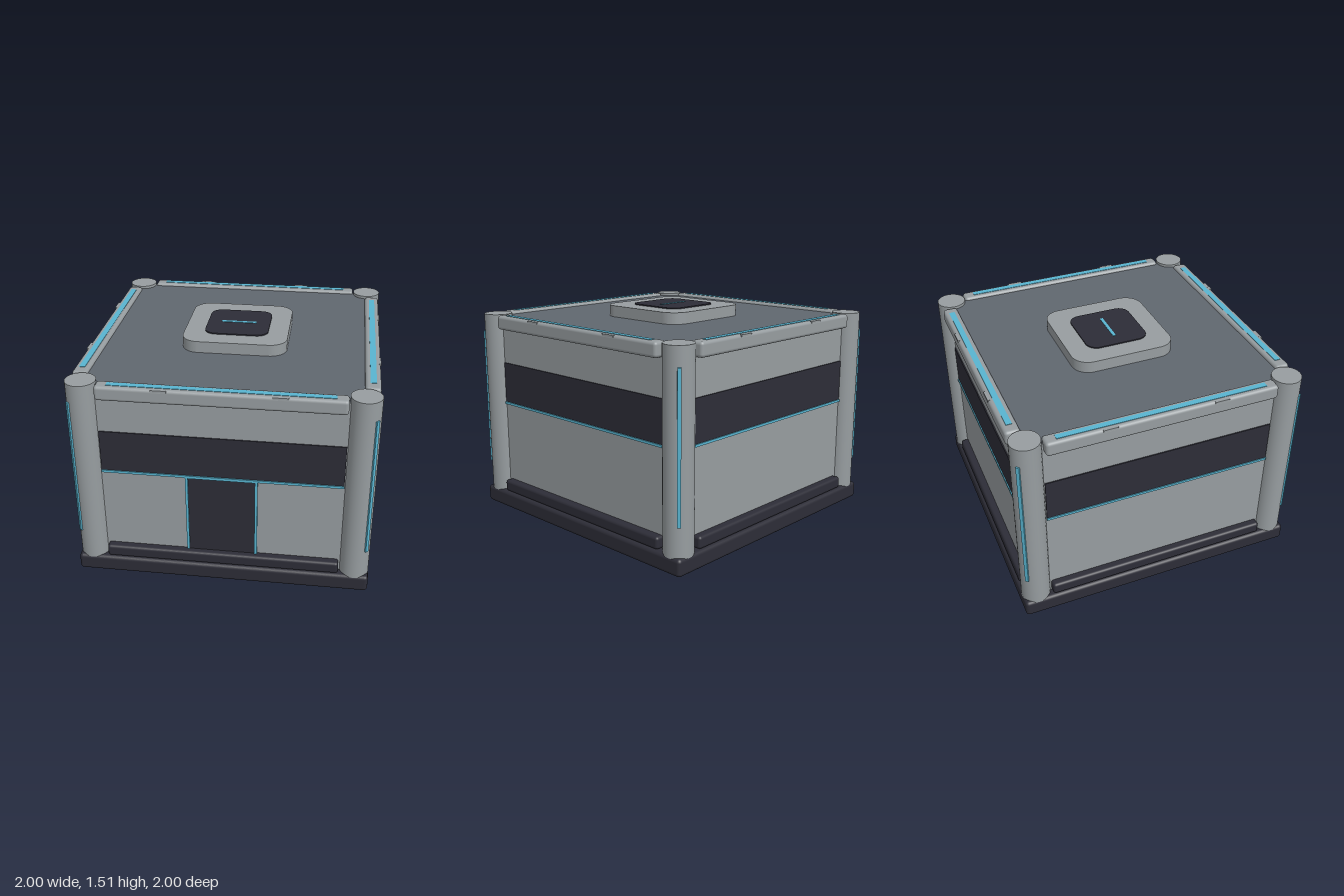
import * as THREE from 'three';
import { RoundedBoxGeometry } from 'three/addons/geometries/RoundedBoxGeometry.js';

export function createModel() {
  const model = new THREE.Group();
  model.name = 'building';

  const material = (name, color) => {
    const m = new THREE.MeshStandardMaterial({ color });
    m.name = name;
    return m;
  };
  const grey = material('wall grey', 0x979da0);
  const dark = material('dark trim', 0x2d2d37);
  const slate = material('roof slate', 0x60676f);
  const blue = material('light blue', 0x58b4d0);

  const add = (parent, name, geometry, mat, x, y, z) => {
    const mesh = new THREE.Mesh(geometry, mat);
    mesh.name = name;
    mesh.position.set(x, y, z);
    parent.add(mesh);
    return mesh;
  };
  // Boxes are given by their centre x, bottom, top, back and front
  const box = (parent, name, mat, w, y0, y1, z0, z1, x = 0) =>
    add(parent, name, new THREE.BoxGeometry(w, y1 - y0, z1 - z0), mat, x, (y0 + y1) / 2, (z0 + z1) / 2);
  const softBox = (parent, name, mat, w, y0, y1, z0, z1, r) =>
    add(parent, name, new RoundedBoxGeometry(w, y1 - y0, z1 - z0, 3, r), mat, 0, (y0 + y1) / 2, (z0 + z1) / 2);

  // Rounded square slab lying flat
  const slab = (name, mat, half, r, y0, y1) => {
    const s = new THREE.Shape();
    const c = half - r;
    s.absarc(c, c, r, 0, Math.PI / 2);
    s.absarc(-c, c, r, Math.PI / 2, Math.PI);
    s.absarc(-c, -c, r, Math.PI, Math.PI * 1.5);
    s.absarc(c, -c, r, Math.PI * 1.5, Math.PI * 2);
    s.closePath();
    const g = new THREE.ExtrudeGeometry(s, { depth: y1 - y0, bevelEnabled: false, curveSegments: 10 });
    g.rotateX(-Math.PI / 2);
    add(model, name, g, mat, 0, y0, 0);
  };

  // Foundation, wall core and roof
  softBox(model, 'foundation', dark, 2, 0, 0.12, -1, 1, 0.025);
  box(model, 'wallCore', grey, 1.86, 0.1, 1.4, -0.93, 0.93);
  box(model, 'roof', slate, 1.84, 1.4, 1.42, -0.92, 0.92);

  // Four matching sides
  for (let i = 0; i < 4; i++) {
    const side = new THREE.Group();
    side.name = 'side' + (i + 1);
    side.rotation.y = (i * Math.PI) / 2;
    model.add(side);

    softBox(side, 'skirting', dark, 1.59, 0.12, 0.205, 0.88, 0.985, 0.02);
    box(side, 'windowBand', dark, 1.6, 0.8, 1.09, 0.93, 0.938);
    box(side, 'wallLight', blue, 1.6, 0.783, 0.8, 0.93, 0.945);
    softBox(side, 'parapet', grey, 1.59, 1.34, 1.44, 0.888, 0.99, 0.022);
    box(side, 'parapetLight', blue, 1.44, 1.436, 1.443, 0.92, 0.96);
    for (const x of [-0.38, 0.38])
      box(side, 'parapetClip', grey, 0.1, 1.425, 1.439, 0.975, 0.993, x);
  }

  // Front door with its lit frame
  box(model, 'door', dark, 0.45, 0.2, 0.785, 0.93, 0.938);
  for (const x of [-0.231, 0.231])
    box(model, 'doorFrameLight', blue, 0.018, 0.2, 0.8, 0.93, 0.946, x);
  box(model, 'doorTopLight', blue, 0.48, 0.78, 0.8, 0.93, 0.947);

  // Corner columns, each with a light facing outward
  for (let i = 0; i < 4; i++) {
    const a = Math.PI / 4 + (i * Math.PI) / 2;
    const column = new THREE.Group();
    column.name = 'cornerColumn' + (i + 1);
    column.position.set(Math.sin(a) * 0.9 * Math.SQRT2, 0, Math.cos(a) * 0.9 * Math.SQRT2);
    column.rotation.y = a;
    model.add(column);
    add(column, 'columnShaft', new THREE.CylinderGeometry(0.1, 0.1, 1.33, 32), grey, 0, 0.775, 0);
    box(column, 'columnLight', blue, 0.024, 0.32, 1.31, 0.09, 0.11);
  }

  // Roof hatch
  slab('hatchPad', grey, 0.36, 0.12, 1.42, 1.5);
  slab('hatchCover', dark, 0.22, 0.08, 1.5, 1.508);
  box(model, 'hatchLight', blue, 0.245, 1.506, 1.511, -0.011, 0.011);

  return model;
}
